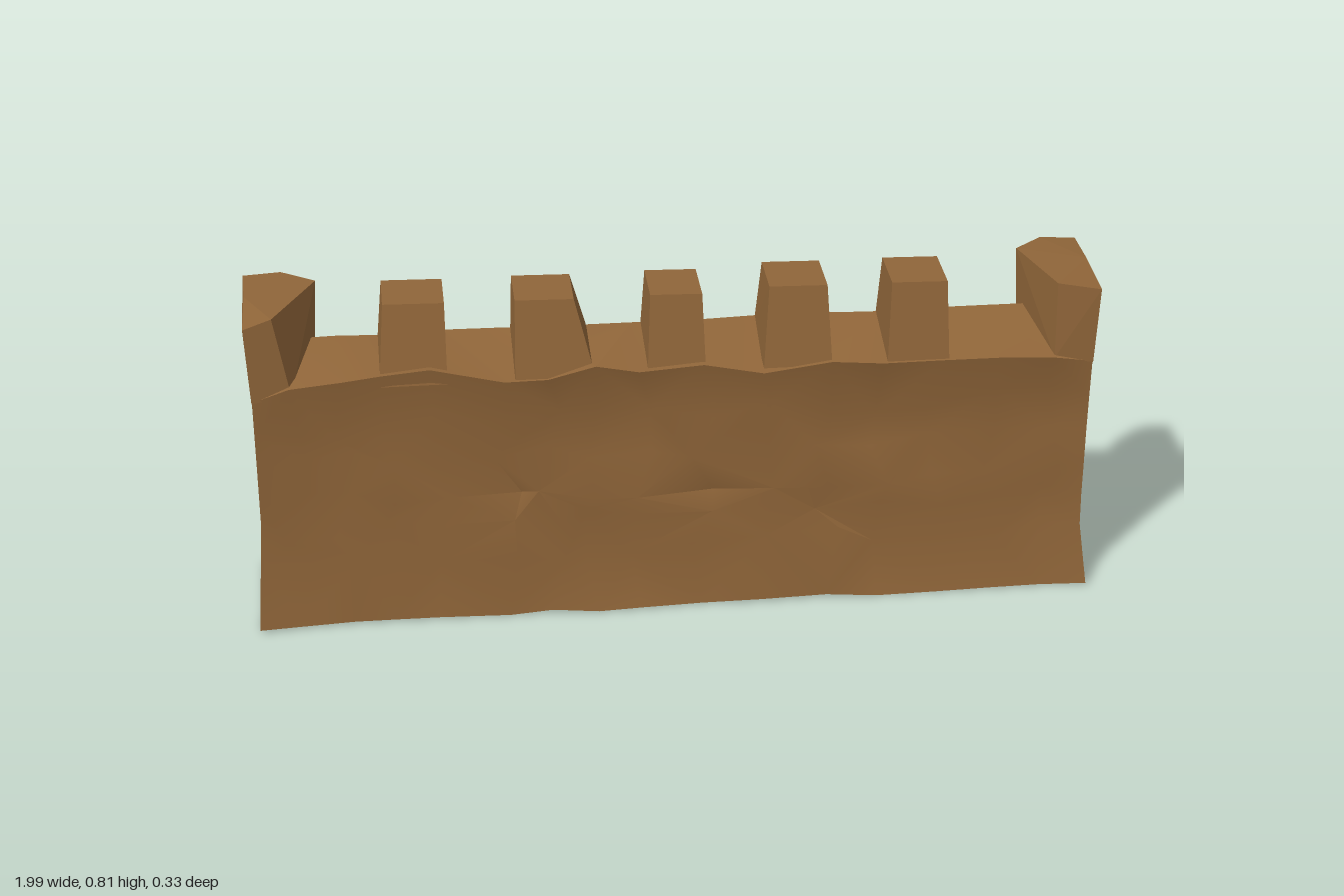
import * as THREE from 'three';
import { toCreasedNormals } from 'three/addons/utils/BufferGeometryUtils.js';
import { ConvexGeometry } from 'three/addons/geometries/ConvexGeometry.js';

const V = (x, y, z) => new THREE.Vector3(x, y, z);

// small seeded noise in -1..1
function makeNoise(seed) {
  let s = seed;
  return () => ((s = (s * 16807) % 2147483647) / 2147483647) * 2 - 1;
}

// stations along the wall: [x, height of the front top edge]
const STATIONS = [
  [-1, 0.6], [-0.89, 0.63], [-0.77, 0.64], [-0.68, 0.65], [-0.57, 0.66], [-0.4, 0.62], [-0.3, 0.62],
  [-0.19, 0.65], [-0.09, 0.63], [0.06, 0.64], [0.2, 0.61], [0.36, 0.63], [0.48, 0.62],
  [0.62, 0.62], [0.76, 0.62], [0.88, 0.615], [1, 0.6],
];

// cross-section [z, y, inset between the ends]: up the front, over the walkway, down the back
const SECTION = [
  [0.15, 0.008, 0], [0.14, 0.16, 0.008], [0.135, 0.24, 0.004], [0.137, 0.32, 0.007],
  [0.138, 0.42, 0.008], [0.142, 0.51, 0.016], [0.148, 0.63, 0],
  [-0.035, 0.672, 0],
  [-0.152, 0.585, 0], [-0.135, 0.48, 0.01], [-0.134, 0.38, 0.004], [-0.133, 0.27, 0.007],
  [-0.136, 0.15, 0.006], [-0.15, 0.008, 0],
];
const FRONT_EDGE = 6, RIDGE = 7, BACK_EDGE = 8;

function wallGeometry() {
  const noise = makeNoise(4711), pos = [], index = [];
  const n = SECTION.length, m = STATIONS.length;
  STATIONS.forEach(([sx, edgeY], i) => {
    const end = i === 0 || i === m - 1;
    SECTION.forEach(([sz, sy, inset], j) => {
      let x = sx, y = sy, z = sz;
      const foot = j === 0 || j === n - 1;
      if (end) {
        // ends flare at the foot and pinch at mid height
        x *= foot ? 0.993 : 0.975;
        if (foot) z *= 1.1;
      } else if (foot) {
        y = 0.004 + noise() * 0.004;
        z += noise() * 0.006;
      } else if (inset) {
        x += noise() * 0.035;
        y += noise() * 0.03;
        z -= Math.sign(z) * (inset + noise() * 0.01);
      } else {
        z += noise() * 0.003;
      }
      if (j === FRONT_EDGE) y = edgeY;
      if (j === BACK_EDGE) y += noise() * 0.006;
      if (j === RIDGE) y += noise() * 0.003;
      // crevice below the fourth gap
      if (j === FRONT_EDGE - 1 && sx === 0.48) { x = 0.47; y = 0.47; z = 0.11; }
      pos.push(x, y, z);
    });
  });
  for (let i = 0; i < m - 1; i++) {
    for (let j = 0; j < n; j++) {
      const k = (j + 1) % n;
      const a = i * n + j, b = a + n, c = (i + 1) * n + k, d = i * n + k;
      if ((i + j) % 2) index.push(a, b, c, a, c, d);
      else index.push(a, b, d, b, c, d);
    }
  }
  // end caps
  for (const side of [-1, 1]) {
    const first = side < 0 ? 0 : (m - 1) * n, centre = pos.length / 3;
    pos.push(side * 0.972, 0.35, 0);
    for (let j = 0; j < n; j++) {
      const a = first + j, b = first + ((j + 1) % n);
      index.push(centre, side < 0 ? a : b, side < 0 ? b : a);
    }
  }
  const g = new THREE.BufferGeometry();
  g.setAttribute('position', new THREE.Float32BufferAttribute(pos, 3));
  g.setIndex(index);
  return toCreasedNormals(g, 0.45);
}

// tapered block: top range in x, base range in x, top height, front of the top
function merlonGeometry(t0, t1, b0, b1, top, front) {
  const pts = [];
  for (const [x, h] of [[t0, top], [t1, top - 0.003]]) {
    pts.push(V(x, h, -0.023), V(x, h - 0.005, front));
  }
  for (const x of [b0, b1]) pts.push(V(x, 0.645, -0.038), V(x, 0.62, 0.142));
  return new ConvexGeometry(pts);
}

// corner block with an angled inner face: side, inner corner x, front corner x and z of the top
function endBlockGeometry(s, innerX, frontX, frontZ) {
  return new ConvexGeometry([
    // base
    V(s * 0.976, 0.598, 0.15), V(s * 0.976, 0.583, -0.152), V(s * 0.885, 0.61, 0.143),
    V(s * (innerX + 0.01), 0.62, -0.07), V(s * 0.9, 0.585, -0.149),
    // top
    V(s * 0.985, 0.783, 0.148), V(s * 0.988, 0.79, -0.137), V(s * frontX, 0.796, frontZ),
    V(s * innerX, 0.8, -0.068), V(s * 0.9, 0.798, -0.13), V(s * 0.983, 0.798, 0),
  ]);
}

export function createModel() {
  const group = new THREE.Group();
  group.name = 'battlementWall';
  const material = new THREE.MeshStandardMaterial({ color: 0x8f6539 });
  const add = (name, geometry) => {
    const mesh = new THREE.Mesh(geometry, material);
    mesh.name = name;
    group.add(mesh);
  };

  add('wall', wallGeometry());

  // merlons along the front of the walkway
  [
    [-0.67, -0.53, -0.685, -0.53, 0.813, 0.1],
    [-0.37, -0.235, -0.375, -0.19, 0.81, 0.105],
    [-0.06, 0.06, -0.07, 0.065, 0.808, 0.105],
    [0.215, 0.35, 0.2, 0.36, 0.815, 0.105],
    [0.5, 0.63, 0.49, 0.635, 0.812, 0.108],
  ].forEach((p, i) => add(`merlon${i + 1}`, merlonGeometry(...p)));

  add('rightEndBlock', endBlockGeometry(-1, 0.82, 0.92, 0.125));
  add('leftEndBlock', endBlockGeometry(1, 0.83, 0.885, 0.132));
  return group;
}
